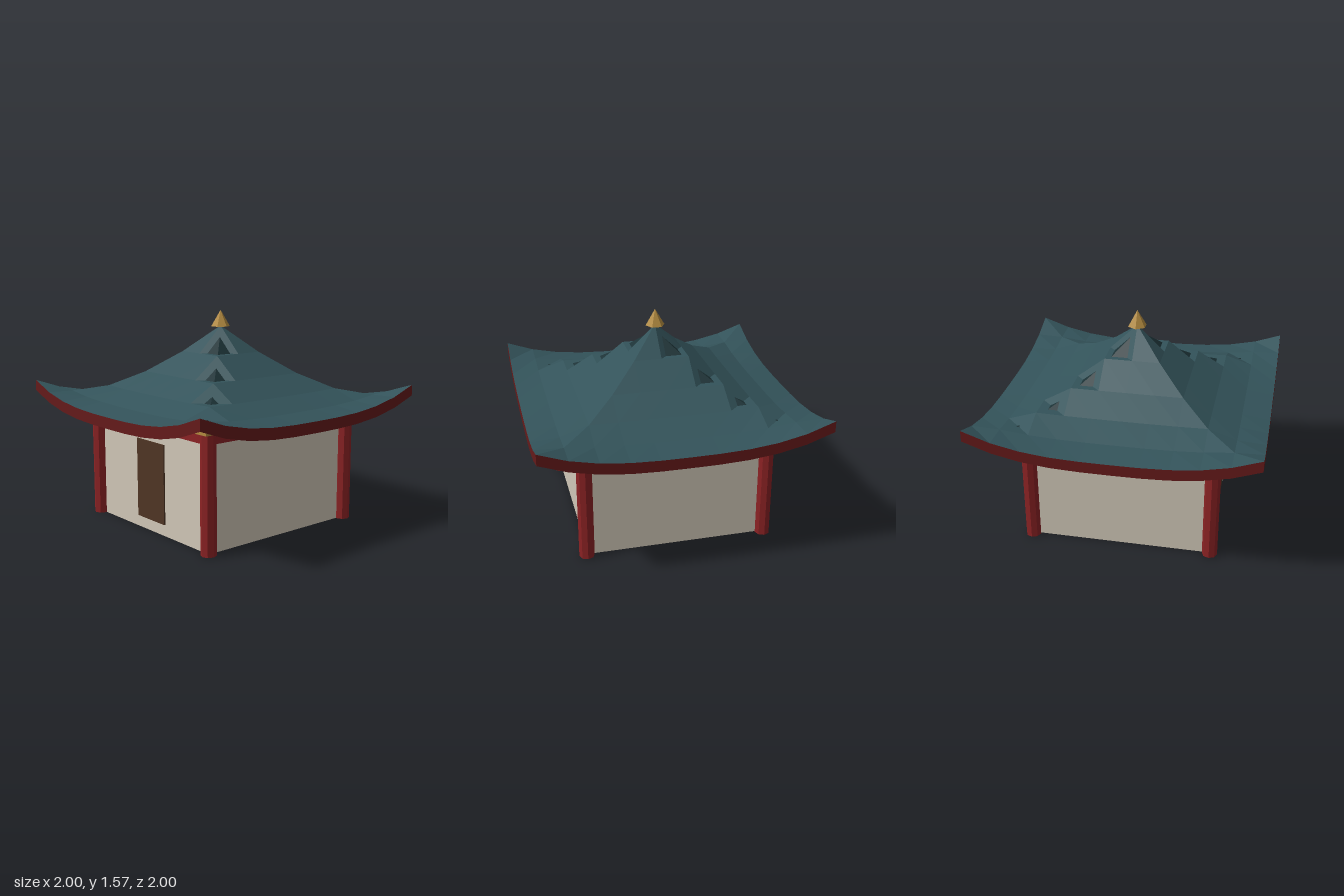
import * as THREE from 'three';

const mat = (color) => new THREE.MeshStandardMaterial({ color, flatShading: true, side: THREE.DoubleSide });

// Swept roof: concave slope to the peak, eaves lifted toward the corners
function roofHeight(x, z) {
  const r = Math.max(Math.abs(x), Math.abs(z));
  const slope = 0.57 * Math.pow(Math.max(0, 1 - r), 1.85);
  return 0.88 + slope + 0.145 * Math.pow(Math.abs(x * z), 3);
}

// Square grid draped over the roof curve, facing up (-1) or down (+1)
function roofSheet(facing, drop) {
  const geo = new THREE.PlaneGeometry(2, 2, 10, 10).rotateX(facing * Math.PI / 2);
  const p = geo.attributes.position;
  for (let i = 0; i < p.count; i++) p.setY(i, roofHeight(p.getX(i), p.getZ(i)) - drop);
  geo.computeVertexNormals();
  return geo;
}

// Curved band along one eave
function eaveBand() {
  const geo = new THREE.PlaneGeometry(2, 0.08, 10, 1);
  const p = geo.attributes.position;
  for (let i = 0; i < p.count; i++) {
    p.setY(i, p.getY(i) - 0.04 + roofHeight(p.getX(i), 1));
    p.setZ(i, 1);
  }
  geo.computeVertexNormals();
  return geo;
}

export function createModel() {
  const group = new THREE.Group();
  const red = mat(0x8b2224), darkRed = mat(0x651a1a), gold = mat(0xb38b40);

  const add = (name, geo, material, x = 0, y = 0, z = 0) => {
    const mesh = new THREE.Mesh(geo, material);
    mesh.name = name;
    mesh.position.set(x, y, z);
    group.add(mesh);
    return mesh;
  };

  // Body and door
  add('walls', new THREE.BoxGeometry(1.29, 0.81, 1.29), mat(0xd0c7b7), 0, 0.405, 0);
  add('door', new THREE.BoxGeometry(0.32, 0.58, 0.02), mat(0x4f3524), 0, 0.375, 0.645);

  // Corner pillars
  const pillarGeo = new THREE.CylinderGeometry(0.055, 0.055, 0.83, 8);
  for (const x of [-1, 1]) for (const z of [-1, 1]) {
    add('pillar', pillarGeo, red, x * 0.655, 0.415, z * 0.655);
  }

  // Top beams and eave bands, one per side
  const beamGeo = new THREE.BoxGeometry(1.31, 0.07, 0.07).translate(0, 0.795, 0.655);
  const bandGeo = eaveBand();
  for (let i = 0; i < 4; i++) {
    add('beam', beamGeo, red).rotation.y = i * Math.PI / 2;
    add('eaveBand', bandGeo, darkRed).rotation.y = i * Math.PI / 2;
  }

  // Bracket slab below the roof
  add('bracketSlab', new THREE.BoxGeometry(1.51, 0.035, 1.51), gold, 0, 0.858, 0);

  // Roof and its underside
  add('roof', roofSheet(-1, 0), mat(0x33535a));
  add('soffit', roofSheet(1, 0.04), mat(0x1c3236));

  // Peak ornament
  add('finial', new THREE.ConeGeometry(0.07, 0.12, 6), gold, 0, 1.505, 0).rotation.y = Math.PI / 6;

  return group;
}
